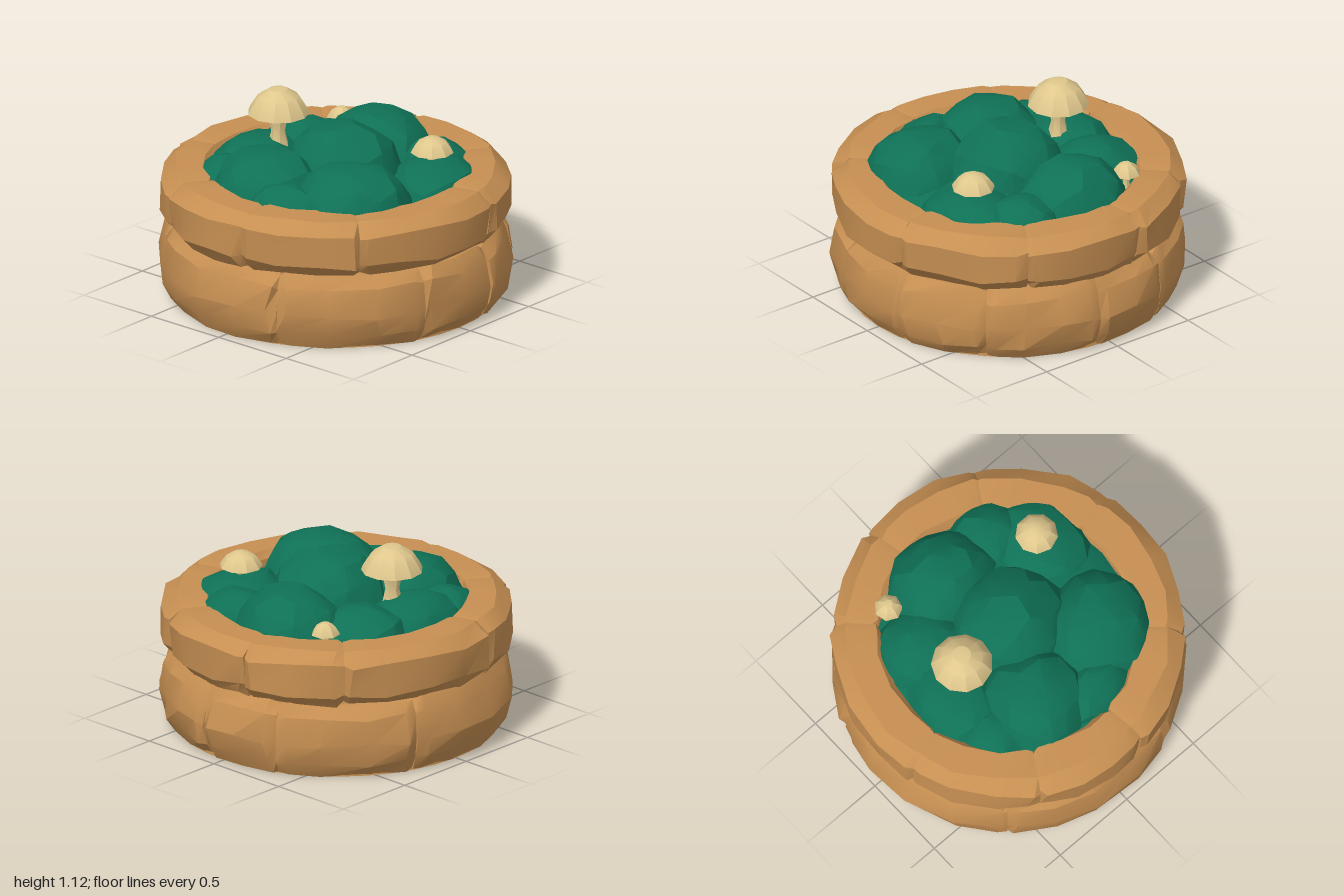
import * as THREE from 'three';
import { toCreasedNormals, mergeVertices } from 'three/addons/utils/BufferGeometryUtils.js';

const stoneMat = new THREE.MeshStandardMaterial({ color: 0xc68f52 });
stoneMat.name = 'tan stone';
const mossMat = new THREE.MeshStandardMaterial({ color: 0x0f7156 });
mossMat.name = 'green moss';
const mushroomMat = new THREE.MeshStandardMaterial({ color: 0xdfc78c });
mushroomMat.name = 'cream mushroom';

let seed = 7;
const rand = () => {
  seed = (seed * 16807) % 2147483647;
  return seed / 2147483647;
};

function addMesh(parent, name, geometry, material) {
  const mesh = new THREE.Mesh(geometry, material);
  mesh.name = name;
  parent.add(mesh);
  return mesh;
}

// Curved stone: a [radius, y] section swept from angle a0 to a1, pinched at both ends
function stoneGeometry(profile, a0, a1) {
  const n = profile.length;
  const mid = profile.reduce((s, p) => [s[0] + p[0] / n, s[1] + p[1] / n], [0, 0]);
  const inner = Math.max(2, Math.round((a1 - a0) / 0.26));
  const steps = [0, 0.05 / (a1 - a0)];
  for (let i = 1; i < inner; i++) steps.push(i / inner);
  steps.push(1 - steps[1], 1);
  const last = steps.length - 1;
  const pos = [], idx = [];
  const put = (r, y, a) => pos.push(r * Math.cos(a), y, r * Math.sin(a));
  steps.forEach((t, i) => {
    const end = i === 0 || i === last;
    const scale = end ? 0.84 : 1;
    for (const [r, y] of profile) {
      const flat = y === 0 || y === 0.75;
      const a = a0 + (a1 - a0) * t + (end ? 0 : (rand() - 0.5) * 0.05);
      put(mid[0] + (r - mid[0]) * scale + (rand() - 0.6) * 0.025,
        mid[1] + (y - mid[1]) * (end ? 0.95 : 1) + (flat ? 0 : (rand() - 0.5) * 0.03), a);
    }
  });
  for (let i = 0; i < last; i++) {
    for (let j = 0; j < n; j++) {
      const k = (j + 1) % n;
      const A = i * n + j, B = A + n, C = (i + 1) * n + k, D = i * n + k;
      idx.push(A, B, C, A, C, D);
    }
  }
  // end caps
  const c0 = pos.length / 3;
  put(mid[0], mid[1], a0);
  put(mid[0], mid[1], a1);
  for (let j = 0; j < n; j++) {
    const k = (j + 1) % n;
    idx.push(c0, j, k, c0 + 1, last * n + k, last * n + j);
  }
  const g = new THREE.BufferGeometry();
  g.setAttribute('position', new THREE.Float32BufferAttribute(pos, 3));
  g.setIndex(idx);
  return toCreasedNormals(g, 0.5);
}

function stoneRing(name, profile, joints) {
  const ring = new THREE.Group();
  ring.name = name;
  joints.forEach((d, i) => {
    const next = i + 1 < joints.length ? joints[i + 1] : joints[0] + 360;
    const g = stoneGeometry(profile, THREE.MathUtils.degToRad(d), THREE.MathUtils.degToRad(next));
    addMesh(ring, name + 'Stone' + (i + 1), g, stoneMat);
  });
  return ring;
}

// Lumpy flattened ball with its highest point at y = top
function mossClump(x, z, rx, rz, top, turn) {
  const base = 0.62;
  let g = new THREE.IcosahedronGeometry(1, 2);
  g.deleteAttribute('normal');
  g.deleteAttribute('uv');
  g = mergeVertices(g, 1e-3);
  const p = g.attributes.position;
  const v = new THREE.Vector3();
  for (let i = 0; i < p.count; i++) {
    v.fromBufferAttribute(p, i);
    const bump = 1 + (rand() - 0.5) * 0.09;
    p.setXYZ(i, v.x * bump * rx, Math.min(v.y * bump, 0.98) * (top - base), v.z * bump * rz);
  }
  g.rotateY(turn);
  g.translate(x, base, z);
  return toCreasedNormals(g, 0.4);
}

function mushroom(name, x, z, radius, rimY, topY, footY, sides) {
  const m = new THREE.Group();
  m.name = name;
  m.position.set(x, 0, z);
  const h = topY - rimY;
  const capPoints = [[0, -0.16], [0.6, -0.16], [1, 0], [0.93, 0.2], [0.68, 0.66], [0.3, 0.95], [0, 1]]
    .map(([r, y]) => new THREE.Vector2(r * radius, rimY + y * h));
  addMesh(m, name + 'Cap', toCreasedNormals(new THREE.LatheGeometry(capPoints, sides), 0.45), mushroomMat);
  // stem flares at both ends
  const s = radius * 0.27, underY = rimY - 0.1 * h;
  const stemPoints = [[1.35, footY], [0.85, footY + (underY - footY) * 0.5], [1.25, underY]]
    .map(([r, y]) => new THREE.Vector2(r * s, y));
  addMesh(m, name + 'Stem', toCreasedNormals(new THREE.LatheGeometry(stemPoints, 7), 0.45), mushroomMat);
  return m;
}

export function createModel() {
  const model = new THREE.Group();
  model.name = 'stonePlanter';

  // two courses of stones
  model.add(stoneRing('lowerRing', [
    [0.74, 0.44], [0.92, 0.43], [0.97, 0.36], [1.0, 0.2], [0.975, 0.08], [0.925, 0], [0.74, 0],
  ], [18, 69, 132, 199, 247, 276, 315, 346]));
  model.add(stoneRing('upperRing', [
    [0.74, 0.75], [0.91, 0.75], [0.995, 0.68], [0.985, 0.5], [0.92, 0.43], [0.76, 0.42], [0.71, 0.55], [0.715, 0.7],
  ], [41, 82, 121, 165, 224, 259, 301, 346]));

  // solid core closing the underside
  const core = addMesh(model, 'planterCore', new THREE.CylinderGeometry(0.86, 0.92, 0.5, 40), stoneMat);
  core.position.y = 0.25;

  // moss bed and clumps
  const moss = new THREE.Group();
  moss.name = 'moss';
  model.add(moss);
  addMesh(moss, 'mossBed', mossClump(0, 0, 0.78, 0.78, 0.76, 0), mossMat);
  [
    [0.04, -0.02, 0.36, 0.34, 1.01, 0.3],
    [-0.08, -0.47, 0.34, 0.3, 0.94, 0],
    [-0.16, 0.4, 0.33, 0.32, 0.92, 0],
    [0.39, 0.31, 0.36, 0.33, 0.93, 0.5],
    [0.48, -0.28, 0.27, 0.32, 0.83, 0.2],
    [0.3, -0.5, 0.24, 0.22, 0.83, 0],
    [-0.48, 0.1, 0.26, 0.33, 0.84, 0],
    [-0.42, -0.24, 0.28, 0.28, 0.85, 0.4],
    [-0.46, 0.4, 0.2, 0.2, 0.8, 0],
    [0.14, 0.57, 0.26, 0.18, 0.82, 0.1],
  ].forEach((c, i) => addMesh(moss, 'mossClump' + (i + 1), mossClump(...c), mossMat));

  // mushrooms
  model.add(mushroom('largeMushroom', -0.385, 0.045, 0.175, 0.975, 1.125, 0.77, 11));
  model.add(mushroom('mediumMushroom', 0.47, -0.285, 0.122, 0.86, 0.95, 0.7, 9));
  model.add(mushroom('smallMushroom', -0.42, -0.535, 0.082, 0.765, 0.835, 0.66, 7));
  return model;
}
